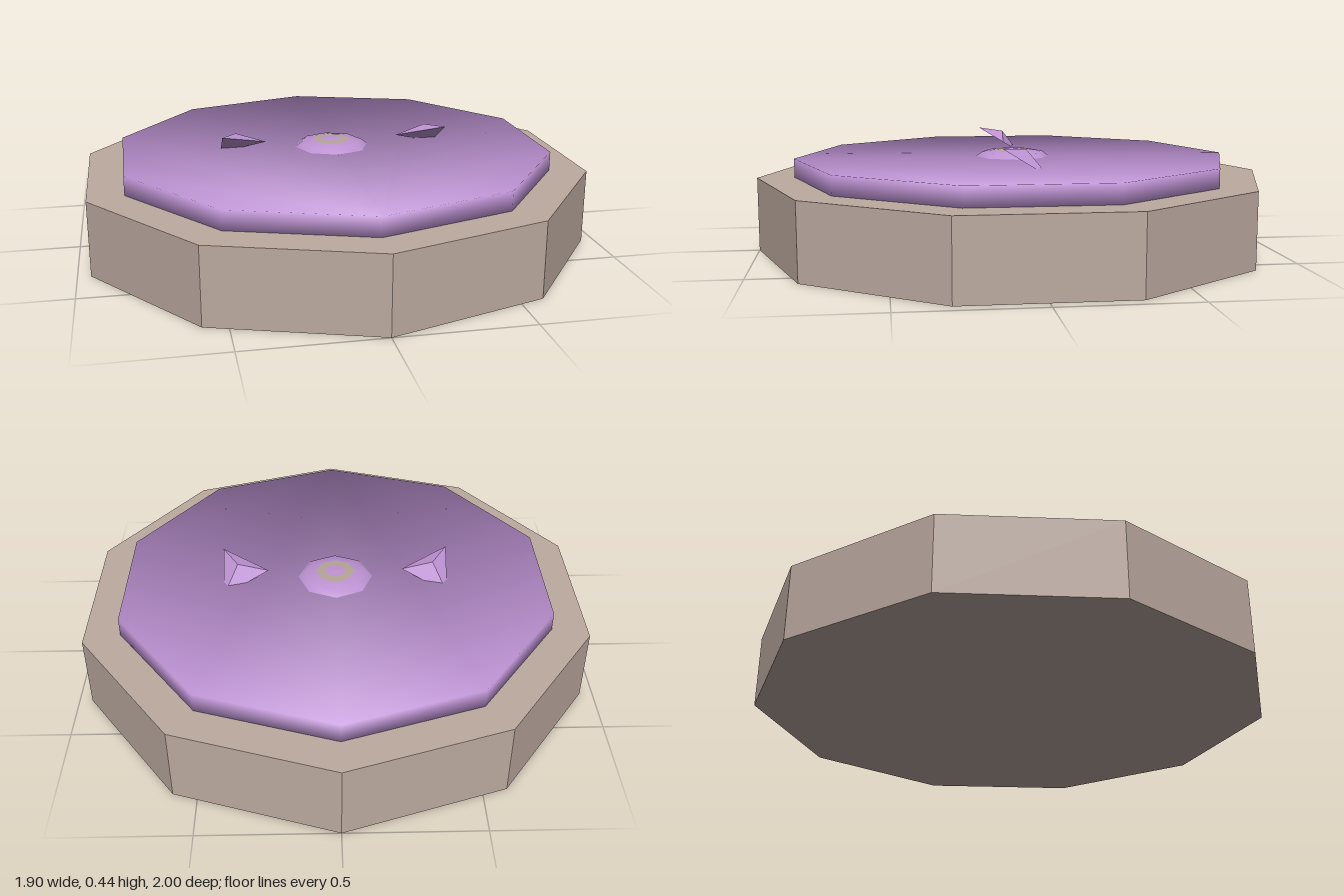
import * as THREE from 'three';
import { ConvexGeometry } from 'three/addons/geometries/ConvexGeometry.js';

const material = (color, extra = {}) => {
  const m = new THREE.MeshStandardMaterial(extra);
  m.color.set(color);
  return m;
};

// Ten-sided disc with soft normals shared by the faces and the rim
function softDisc(radius, y0, y1, sides) {
  const pos = [], normal = [], index = [];
  for (const [y, ny] of [[y0, -0.83], [y1, 0.83]]) {
    for (let i = 0; i < sides; i++) {
      const a = (i / sides) * Math.PI * 2;
      const n = new THREE.Vector3(Math.sin(a), ny, Math.cos(a)).normalize();
      pos.push(radius * Math.sin(a), y, radius * Math.cos(a));
      normal.push(n.x, n.y, n.z);
    }
  }
  for (let i = 0; i < sides; i++) {
    const j = (i + 1) % sides;
    index.push(i, j, sides + j, i, sides + j, sides + i);
    if (i > 0 && i < sides - 1) {
      index.push(sides, sides + i, sides + i + 1); // top
      index.push(0, i + 1, i); // bottom
    }
  }
  const g = new THREE.BufferGeometry();
  g.setAttribute('position', new THREE.Float32BufferAttribute(pos, 3));
  g.setAttribute('normal', new THREE.Float32BufferAttribute(normal, 3));
  g.setIndex(index);
  return g;
}

export function createModel() {
  const model = new THREE.Group();
  const stone = material(0xbcaaa0, { flatShading: true });
  const purple = material(0xbe93d4);
  const purpleFlat = material(0xbe93d4, { flatShading: true });
  const tan = material(0xb5a596);

  const add = (name, geometry, mat, parent = model) => {
    const mesh = new THREE.Mesh(geometry, mat);
    mesh.name = name;
    parent.add(mesh);
    return mesh;
  };

  // Ten-sided base and the disc on it
  add('base', new THREE.CylinderGeometry(1, 1, 0.287, 10).translate(0, 0.1435, 0), stone);
  add('disc', softDisc(0.857, 0.28, 0.36, 10), purple);

  // Low eight-sided dome: outer slope, tan ring and centre cap
  const dome = new THREE.Group();
  dome.name = 'dome';
  model.add(dome);
  const band = (name, points, mat) =>
    add(name, new THREE.LatheGeometry(points.map(p => new THREE.Vector2(...p)), 8), mat, dome);
  band('domeSlope', [[0.148, 0.358], [0.12, 0.378], [0.075, 0.385]], purple);
  band('domeRing', [[0.075, 0.385], [0.04, 0.387]], tan);
  band('domeCap', [[0.04, 0.387], [0, 0.389]], purple);

  // Pair of mirrored spikes leaning out of the disc
  for (const [side, name] of [[1, 'leftSpike'], [-1, 'rightSpike']]) {
    const corners = [
      [0.44, 0.435, 0.09], [0.435, 0.33, -0.08], [0.262, 0.388, 0.005], [0.38, 0.425, -0.005],
    ].map(([x, y, z]) => new THREE.Vector3(side * x, y, z));
    add(name, new ConvexGeometry(corners), purpleFlat);
  }
  return model;
}
